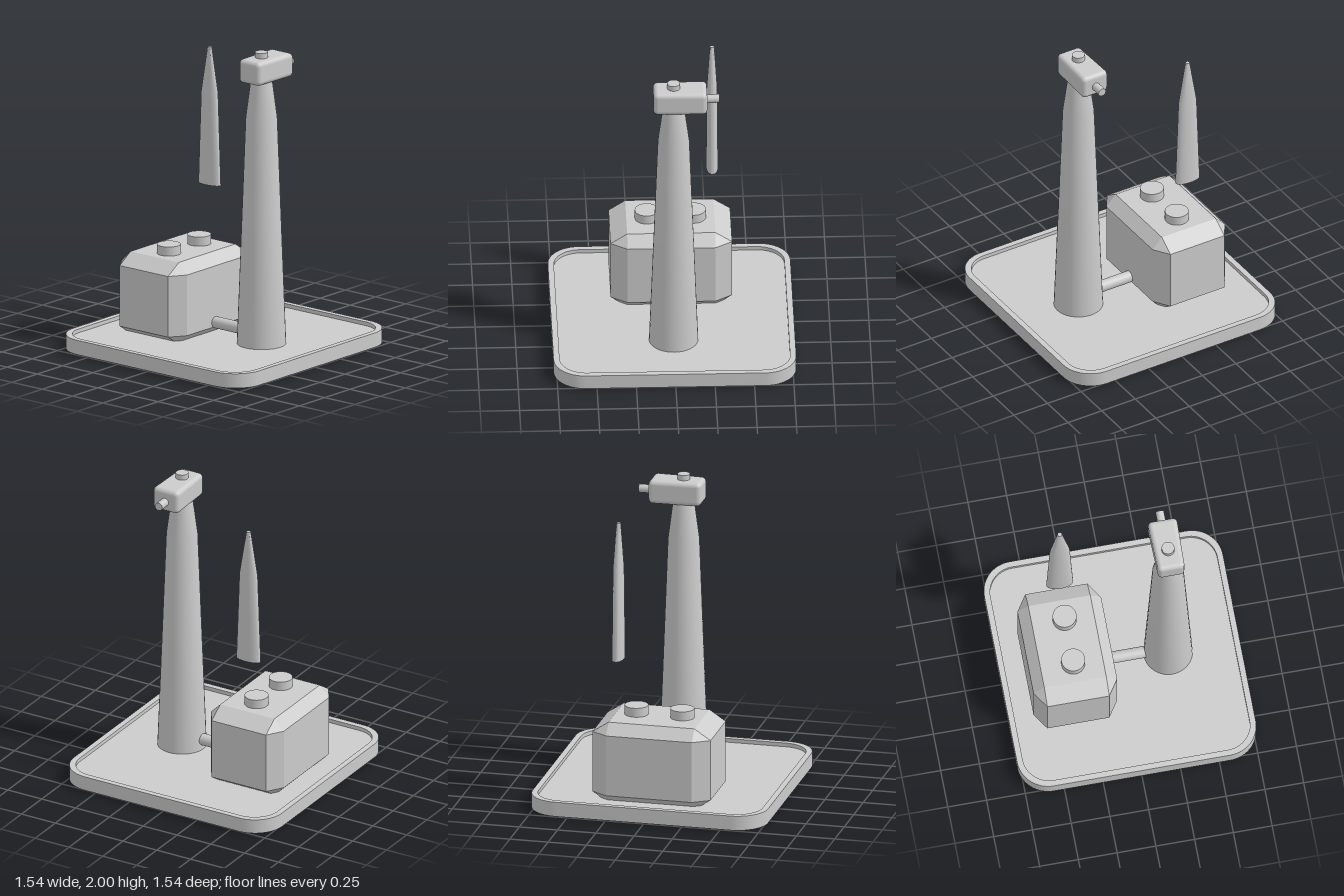
import * as THREE from 'three';
import { toCreasedNormals } from 'three/addons/utils/BufferGeometryUtils.js';
import { RoundedBoxGeometry } from 'three/addons/geometries/RoundedBoxGeometry.js';
import { ConvexGeometry } from 'three/addons/geometries/ConvexGeometry.js';

const material = new THREE.MeshStandardMaterial({ color: 0xcccccc });

// Rounded square outline, half width h and corner radius r
function roundedSquare(h, r, Type = THREE.Shape) {
  const s = new Type();
  const c = h - r;
  s.moveTo(h, -c);
  s.absarc(c, c, r, 0, Math.PI / 2);
  s.absarc(-c, c, r, Math.PI / 2, Math.PI);
  s.absarc(-c, -c, r, Math.PI, Math.PI * 1.5);
  s.absarc(c, -c, r, Math.PI * 1.5, Math.PI * 2);
  return s;
}

// Extrude an outline upward from y0 to y1
function slab(shape, y0, y1) {
  const g = new THREE.ExtrudeGeometry(shape, { depth: y1 - y0, bevelEnabled: false, curveSegments: 8 });
  return toCreasedNormals(g.rotateX(-Math.PI / 2).translate(0, y0, 0), 0.5);
}

// Box with all edges cut at 45 degrees in its own proportions
function chamferedBox(half, cut) {
  const points = [];
  for (const sx of [-1, 1]) for (const sy of [-1, 1]) for (const sz of [-1, 1]) {
    for (let axis = 0; axis < 3; axis++) {
      const p = half.map((v, i) => (i === axis ? v : v - cut[i]));
      points.push(new THREE.Vector3(p[0] * sx, p[1] * sy, p[2] * sz));
    }
  }
  return new ConvexGeometry(points);
}

// Closed loft of elliptical sections, each [y, half width, half depth]
function loft(sections, segments) {
  const pts = sections.map(([y, rx]) => new THREE.Vector2(rx, y));
  pts.unshift(new THREE.Vector2(0, sections[0][0]));
  pts.push(new THREE.Vector2(0, sections[sections.length - 1][0]));
  const g = new THREE.LatheGeometry(pts, segments);
  const pos = g.attributes.position;
  for (let i = 0; i < pos.count; i++) {
    const k = i % pts.length;
    const s = sections[Math.min(Math.max(k - 1, 0), sections.length - 1)];
    pos.setZ(i, pos.getZ(i) * s[2] / s[1]);
  }
  return toCreasedNormals(g, 0.6);
}

export function createModel() {
  const model = new THREE.Group();
  model.name = 'windTurbineSite';
  const add = (name, geometry, x = 0, y = 0, z = 0) => {
    const mesh = new THREE.Mesh(geometry, material);
    mesh.name = name;
    mesh.position.set(x, y, z);
    model.add(mesh);
    return mesh;
  };

  // Base plate: inset floor inside a raised rim
  const rim = roundedSquare(0.77, 0.2);
  rim.holes.push(roundedSquare(0.732, 0.17, THREE.Path));
  add('baseRim', slab(rim, 0.01, 0.105));
  add('baseFloor', slab(roundedSquare(0.732, 0.17), 0, 0.08));

  // Generator housing with two caps
  add('housing', chamferedBox([0.27, 0.27, 0.386], [0.07, 0.07, 0.106]), -0.34, 0.32, 0);
  for (const z of [-0.15, 0.15]) {
    add('housingCap', new THREE.CylinderGeometry(0.076, 0.076, 0.1, 32), -0.33, 0.6, z);
  }

  // Pipe between housing and tower
  add('pipe', new THREE.CylinderGeometry(0.038, 0.038, 0.4, 24).rotateZ(Math.PI / 2), 0.08, 0.148, 0);

  // Tapered tower
  add('tower', loft([[0.07, 0.157, 0.157], [1.57, 0.1, 0.1], [1.83, 0.066, 0.066]], 36), 0.31, 0, 0);

  // Nacelle, narrowing a little toward the front
  const nacelle = new RoundedBoxGeometry(0.19, 0.155, 0.342, 4, 0.03);
  const pos = nacelle.attributes.position;
  for (let i = 0; i < pos.count; i++) {
    pos.setX(i, pos.getX(i) * (0.95 - 0.3 * pos.getZ(i)));
  }
  add('nacelle', nacelle, 0.31, 1.8875, -0.041);
  add('nacelleKnob', new THREE.CylinderGeometry(0.041, 0.041, 0.08, 24), 0.31, 1.96, 0);
  add('rotorShaft', new THREE.CylinderGeometry(0.027, 0.027, 0.14, 24).rotateX(Math.PI / 2), 0.31, 1.88, -0.22);

  // Detached blade, flat at the root and round at the tip
  add('blade', loft([[0.955, 0.087, 0.038], [1.56, 0.064, 0.033], [1.86, 0.014, 0.014]], 28), -0.34, 0, -0.265);

  return model;
}
